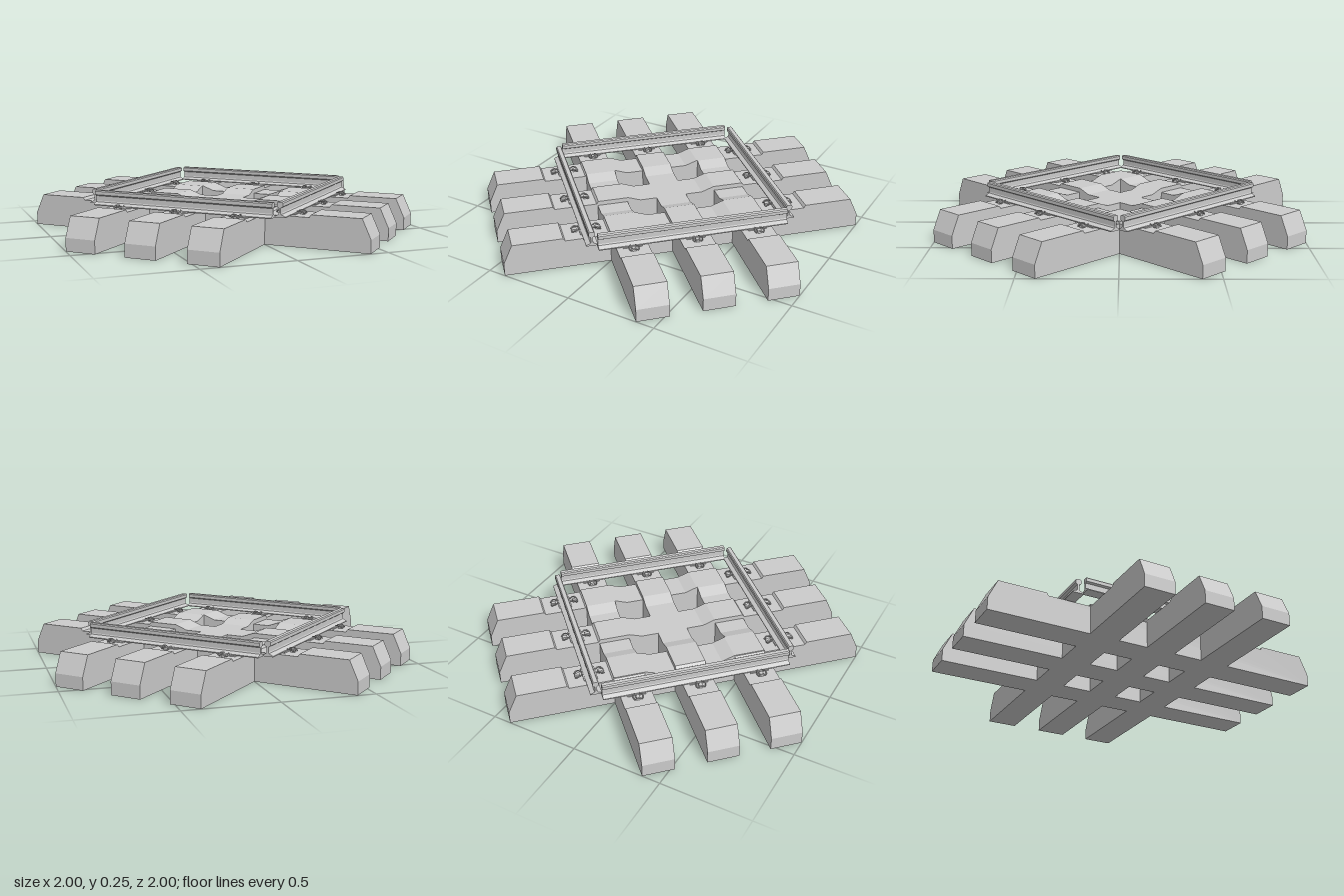
import * as THREE from 'three';

const SPACING = 0.339, WIDTH = 0.17, RAIL_X = 0.54, RAIL_HALF = 0.515;
const material = new THREE.MeshStandardMaterial({ color: 0xcccccc, flatShading: true });

function part(name, geometry, parent) {
  const mesh = new THREE.Mesh(geometry, material);
  mesh.name = name;
  parent.add(mesh);
  return mesh;
}

// Mirrors half an outline in x, then extrudes it centred along z
function mirroredExtrusion(half, depth) {
  const points = [...half, ...half.map(([x, y]) => [-x, y]).reverse()];
  const shape = new THREE.Shape(points.map(([x, y]) => new THREE.Vector2(x, y)));
  return new THREE.ExtrudeGeometry(shape, { depth, bevelEnabled: false, steps: 1 })
    .translate(0, 0, -depth / 2);
}

// Sleeper side outline: chamfered end, rail seat recess, dipped middle
const sleeperGeometry = mirroredExtrusion([
  [0.99, 0], [0.99, 0.07], [0.942, 0.175],
  [0.675, 0.175], [0.665, 0.16], [0.43, 0.16], [0.42, 0.175],
  [0.25, 0.175], [0.18, 0.15],
], WIDTH);

// Rail section: foot, web and head
const railGeometry = mirroredExtrusion([
  [0.031, 0.165], [0.031, 0.17], [0.008, 0.181], [0.005, 0.188],
  [0.005, 0.214], [0.016, 0.221], [0.016, 0.239], [0.011, 0.245],
], RAIL_HALF * 2);

const padGeometry = new THREE.BoxGeometry(0.075, 0.006, 0.1);
const shoulderGeometry = new THREE.BoxGeometry(0.024, 0.016, 0.02);

// Bent wire clip reaching from the shoulder onto the rail foot
const clipGeometry = new THREE.TubeGeometry(new THREE.CatmullRomCurve3([
  [-0.026, 0.176, -0.012], [-0.004, 0.178, -0.026], [0.014, 0.167, -0.02],
  [0.012, 0.176, 0], [0.014, 0.167, 0.02], [-0.004, 0.178, 0.026], [-0.026, 0.176, 0.012],
].map((p) => new THREE.Vector3(...p))), 20, 0.0035, 5);

// Everything that holds the rail on one sleeper
function fastening() {
  const group = new THREE.Group();
  group.name = 'railFastening';
  part('railPad', padGeometry, group).position.y = 0.163;
  for (const side of [1, -1]) {
    const holder = new THREE.Group();
    holder.name = side > 0 ? 'outerClip' : 'innerClip';
    holder.position.x = side * 0.062;
    holder.rotation.y = side > 0 ? 0 : Math.PI;
    part('shoulder', shoulderGeometry, holder).position.y = 0.168;
    part('clip', clipGeometry, holder);
    group.add(holder);
  }
  return group;
}

// Three sleepers along x carrying two rails along z
function track(name) {
  const group = new THREE.Group();
  group.name = name;
  for (const row of [-1, 0, 1]) {
    part('sleeper', sleeperGeometry, group).position.z = row * SPACING;
  }
  for (const side of [1, -1]) {
    const line = new THREE.Group();
    line.name = 'railLine';
    line.position.x = side * RAIL_X;
    line.rotation.y = side > 0 ? 0 : Math.PI;
    part('rail', railGeometry, line);
    for (const row of [-1, 0, 1]) {
      const fixing = fastening();
      fixing.position.z = row * SPACING;
      line.add(fixing);
    }
    group.add(line);
  }
  return group;
}

export function createModel() {
  const model = new THREE.Group();
  model.name = 'railCrossing';
  const first = track('firstTrack'), second = track('secondTrack');
  first.rotation.y = Math.PI / 4;
  second.rotation.y = -Math.PI / 4;
  model.add(first, second);
  return model;
}
